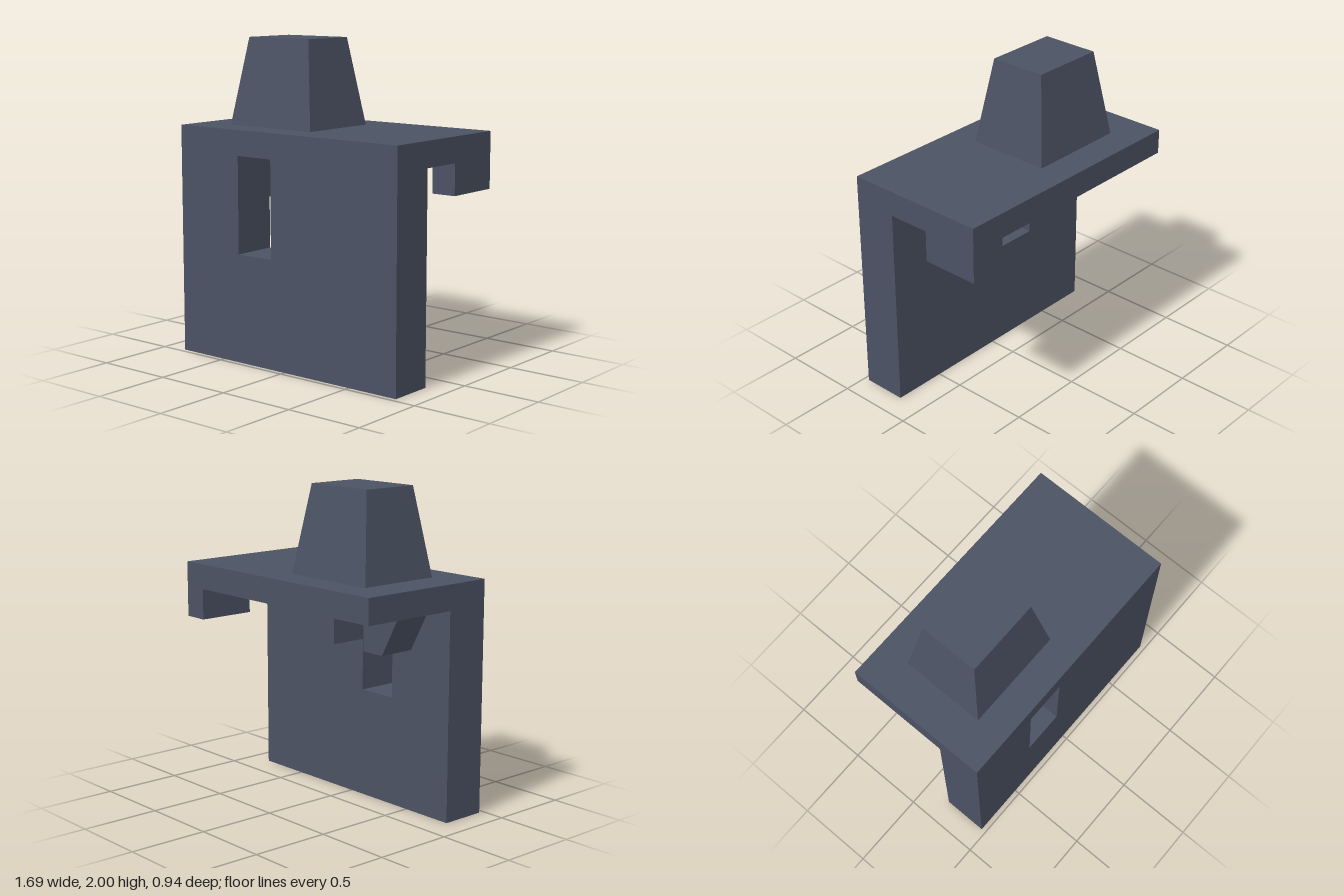
import * as THREE from 'three';

const slate = new THREE.MeshStandardMaterial({ color: 0x4b5263 });
slate.name = 'slate';

function part(name, geometry) {
  const mesh = new THREE.Mesh(geometry, slate);
  mesh.name = name;
  return mesh;
}

// Box given by its minimum and maximum corners
function block(name, [x0, y0, z0], [x1, y1, z1]) {
  const g = new THREE.BoxGeometry(x1 - x0, y1 - y0, z1 - z0);
  g.translate((x0 + x1) / 2, (y0 + y1) / 2, (z0 + z1) / 2);
  return part(name, g);
}

// Outline in x and y, extruded from z0 to z1
function plate(name, points, z0, z1, hole) {
  const toVectors = (list) => list.map(([x, y]) => new THREE.Vector2(x, y));
  const shape = new THREE.Shape(toVectors(points));
  if (hole) shape.holes.push(new THREE.Path(toVectors(hole)));
  const g = new THREE.ExtrudeGeometry(shape, { depth: z1 - z0, bevelEnabled: false });
  g.translate(0, 0, z0);
  return part(name, g);
}

export function createModel() {
  const model = new THREE.Group();
  model.name = 'slottedBracket';

  const W = 0.845, topY = 1.453, underY = 1.295;
  const backZ = -0.468, wallZ = 0.18, frontZ = 0.468;
  const slotL = -0.365, slotR = -0.1, slotMid = (slotL + slotR) / 2;

  // Front wall with its through slot
  model.add(plate('frontWall',
    [[-W, 0], [W, 0], [W, topY], [-W, topY]], wallZ, frontZ,
    [[slotL, 0.685], [slotL, underY], [slotR, underY], [slotR, 0.685]]));

  // Top shelf and the hook hanging from one end
  model.add(block('topShelf', [-W, underY, backZ], [W, topY, wallZ]));
  model.add(block('endHook', [0.685, 1.1, backZ], [W, underY, -0.095]));

  // Mirrored guides beside the slot, sloped on their outer sides
  for (const side of [1, -1]) {
    const half = (slotR - slotL) / 2;
    const outline = [[half, 1.01], [half + 0.16, 1.01], [half + 0.315, underY], [half, underY]]
      .map(([x, y]) => [slotMid + side * x, y]);
    model.add(plate(side > 0 ? 'leftSlotGuide' : 'rightSlotGuide', outline, -0.06, wallZ));
  }

  // Tapered block on top
  const h = 2 - topY;
  const taper = new THREE.BoxGeometry(0.65, h, 0.54);
  const p = taper.attributes.position;
  for (let i = 0; i < p.count; i++) {
    if (p.getY(i) > 0) {
      p.setX(i, Math.sign(p.getX(i)) * 0.24);
      p.setZ(i, Math.sign(p.getZ(i)) * 0.185);
    }
  }
  taper.computeVertexNormals();
  taper.translate(-0.28, topY + h / 2, 0);
  model.add(part('taperedBlock', taper));

  return model;
}
